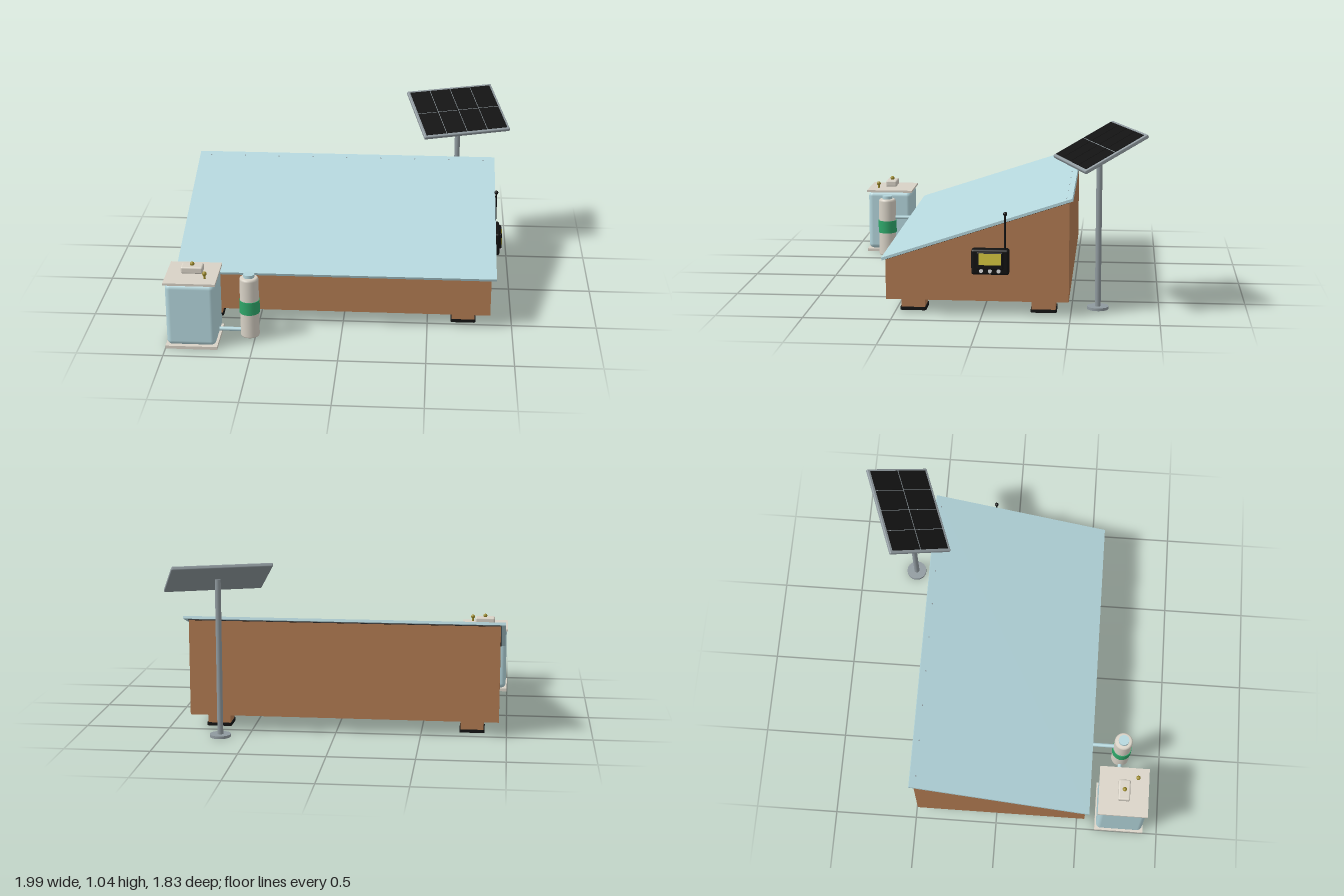
import * as THREE from 'three';
import { RoundedBoxGeometry } from 'three/addons/geometries/RoundedBoxGeometry.js';

const mat = (name, color) => {
  const m = new THREE.MeshStandardMaterial({ color });
  m.name = name;
  return m;
};

export function createModel() {
  const wood = mat('brown wood', 0xb27b52);
  const blue = mat('pale blue', 0xb4d6dc);
  const cream = mat('cream', 0xd8d2c6);
  const grey = mat('metal grey', 0x8f999e);
  const black = mat('black', 0x121212);
  const green = mat('green', 0x2fa76a);
  const yellow = mat('screen yellow', 0xd8ca40);
  const brass = mat('brass', 0x9c8a2a);
  const white = mat('button white', 0xe2e2e2);

  const model = new THREE.Group();
  model.name = 'solarShed';

  const add = (parent, name, geo, material, x = 0, y = 0, z = 0) => {
    const m = new THREE.Mesh(geo, material);
    m.name = name;
    m.position.set(x, y, z);
    parent.add(m);
    return m;
  };
  const group = (name, x = 0, y = 0, z = 0) => {
    const g = new THREE.Group();
    g.name = name;
    g.position.set(x, y, z);
    model.add(g);
    return g;
  };
  const box = (w, h, d) => new THREE.BoxGeometry(w, h, d);
  const round = (w, h, d, r) => new RoundedBoxGeometry(w, h, d, 4, r);
  const cyl = (r, h, n = 32) => new THREE.CylinderGeometry(r, r, h, n);
  const ball = (r) => new THREE.SphereGeometry(r, 16, 12);

  // Wedge-shaped body: side profile (-z, y) extruded along x
  const cx = -0.042;
  const side = new THREE.Shape([
    new THREE.Vector2(-0.545, 0.085), new THREE.Vector2(0.49, 0.085),
    new THREE.Vector2(0.49, 0.66), new THREE.Vector2(-0.545, 0.318),
  ]);
  const bodyGeo = new THREE.ExtrudeGeometry(side, { depth: 1.826, bevelEnabled: false });
  bodyGeo.rotateY(Math.PI / 2);
  add(model, 'body', bodyGeo, wood, cx - 0.913, 0, 0);

  // Sloping roof with gasket and a row of screws along the high edge
  const roof = group('roof', cx, 0.5, 0.027);
  roof.rotation.x = THREE.MathUtils.degToRad(18.3);
  add(roof, 'roofSheet', box(1.885, 0.016, 1.13), blue);
  add(roof, 'roofGasket', box(1.834, 0.006, 1.095), black, 0, -0.0105, 0);
  for (let i = 0; i < 9; i++) {
    add(roof, 'roofScrew', cyl(0.004, 0.003, 8), grey, -0.87 + i * 0.2175, 0.0085, -0.53);
  }

  // Feet, each wrapped by a rubber frame
  const frame = new THREE.Shape();
  const o = 0.074, c = 0.06;
  frame.moveTo(-c, -o);
  frame.lineTo(c, -o);
  frame.quadraticCurveTo(o, -o, o, -c);
  frame.lineTo(o, c);
  frame.quadraticCurveTo(o, o, c, o);
  frame.lineTo(-c, o);
  frame.quadraticCurveTo(-o, o, -o, c);
  frame.lineTo(-o, -c);
  frame.quadraticCurveTo(-o, -o, -c, -o);
  const h = 0.042;
  frame.holes.push(new THREE.Path([
    new THREE.Vector2(-h, -h), new THREE.Vector2(-h, h),
    new THREE.Vector2(h, h), new THREE.Vector2(h, -h),
  ]));
  const padGeo = new THREE.ExtrudeGeometry(frame, { depth: 0.018, bevelEnabled: false });
  padGeo.rotateX(-Math.PI / 2);
  for (const sx of [-1, 1]) {
    for (const z of [0.402, -0.345]) {
      const foot = group('foot', cx + sx * 0.755, 0, z);
      add(foot, 'footBlock', box(0.136, 0.08, 0.136), wood, 0, 0.05, 0);
      add(foot, 'footPad', padGeo, black);
    }
  }

  // Solar panel on its pole
  const mast = group('solarMast', 0.663, 0, -0.65);
  add(mast, 'mastBase', cyl(0.062, 0.016), grey, 0, 0.008, 0);
  add(mast, 'mastPole', cyl(0.017, 0.93), grey, 0, 0.465, 0);
  const panel = new THREE.Group();
  panel.name = 'solarPanel';
  panel.position.y = 0.941;
  panel.rotation.set(THREE.MathUtils.degToRad(27.5), THREE.MathUtils.degToRad(20), 0, 'YXZ');
  mast.add(panel);
  add(panel, 'panelFrame', round(0.575, 0.022, 0.41, 0.006), grey);
  for (let i = 0; i < 4; i++) {
    for (let j = 0; j < 2; j++) {
      add(panel, 'solarCell', box(0.132, 0.004, 0.185), black,
        (i - 1.5) * 0.137, 0.0115, (j - 0.5) * 0.191);
    }
  }

  // Water tank with lids, float box and valves
  const tank = group('waterTank', -0.85, 0, 0.763);
  add(tank, 'tankBody', round(0.285, 0.385, 0.285, 0.03), blue, 0, 0.21, 0);
  add(tank, 'tankBase', box(0.3, 0.018, 0.3), cream, 0, 0.009, 0);
  add(tank, 'tankLid', box(0.3, 0.014, 0.3), cream, 0, 0.408, 0);
  add(tank, 'floatBox', round(0.126, 0.042, 0.072, 0.01), cream, 0, 0.444, 0);
  const valve = (x, y, z) => {
    add(tank, 'valveStem', cyl(0.007, 0.035, 12), brass, x, y - 0.012, z);
    add(tank, 'valveKnob', ball(0.013), brass, x, y, z);
  };
  valve(0, 0.473, 0.001);
  valve(0.082, 0.45, 0.081);

  // Filter cartridge and its pipes
  const filter = group('filter', -0.527, 0, 0.75);
  const profile = [[0, 0.02], [0.045, 0.02], [0.052, 0.023], [0.055, 0.03],
    [0.055, 0.378], [0.052, 0.388], [0.045, 0.393], [0, 0.393]];
  add(filter, 'filterBody',
    new THREE.LatheGeometry(profile.map((p) => new THREE.Vector2(...p)), 32), cream);
  add(filter, 'filterBand', cyl(0.059, 0.08), green, 0, 0.212, 0);
  add(filter, 'filterCap', cyl(0.032, 0.024), blue, 0, 0.4, 0);
  const tankPipe = add(filter, 'tankPipe', cyl(0.012, 0.2, 16), blue, -0.12, 0.055, 0);
  tankPipe.rotation.z = Math.PI / 2;
  const housePipe = add(filter, 'housePipe', cyl(0.012, 0.23, 16), blue, 0, 0.27, -0.115);
  housePipe.rotation.x = Math.PI / 2;

  // Control unit on the +x wall
  const control = group('controlUnit', 0.87, 0.322, -0.052);
  add(control, 'controlCase', round(0.064, 0.145, 0.212, 0.014), black, 0.03, 0, 0);
  add(control, 'controlBezel', round(0.02, 0.1, 0.15, 0.008), black, 0.064, 0.01, 0);
  add(control, 'controlScreen', box(0.006, 0.065, 0.126), yellow, 0.073, 0.02, 0);
  for (let i = -1; i <= 1; i++) {
    const button = add(control, 'controlButton', cyl(0.011, 0.03, 20), white, 0.062, -0.047, i * 0.049);
    button.rotation.z = Math.PI / 2;
  }
  add(control, 'antennaRod', cyl(0.006, 0.22, 12), black, 0.036, 0.165, -0.082);
  add(control, 'antennaTip', ball(0.012), black, 0.036, 0.272, -0.082);

  return model;
}
